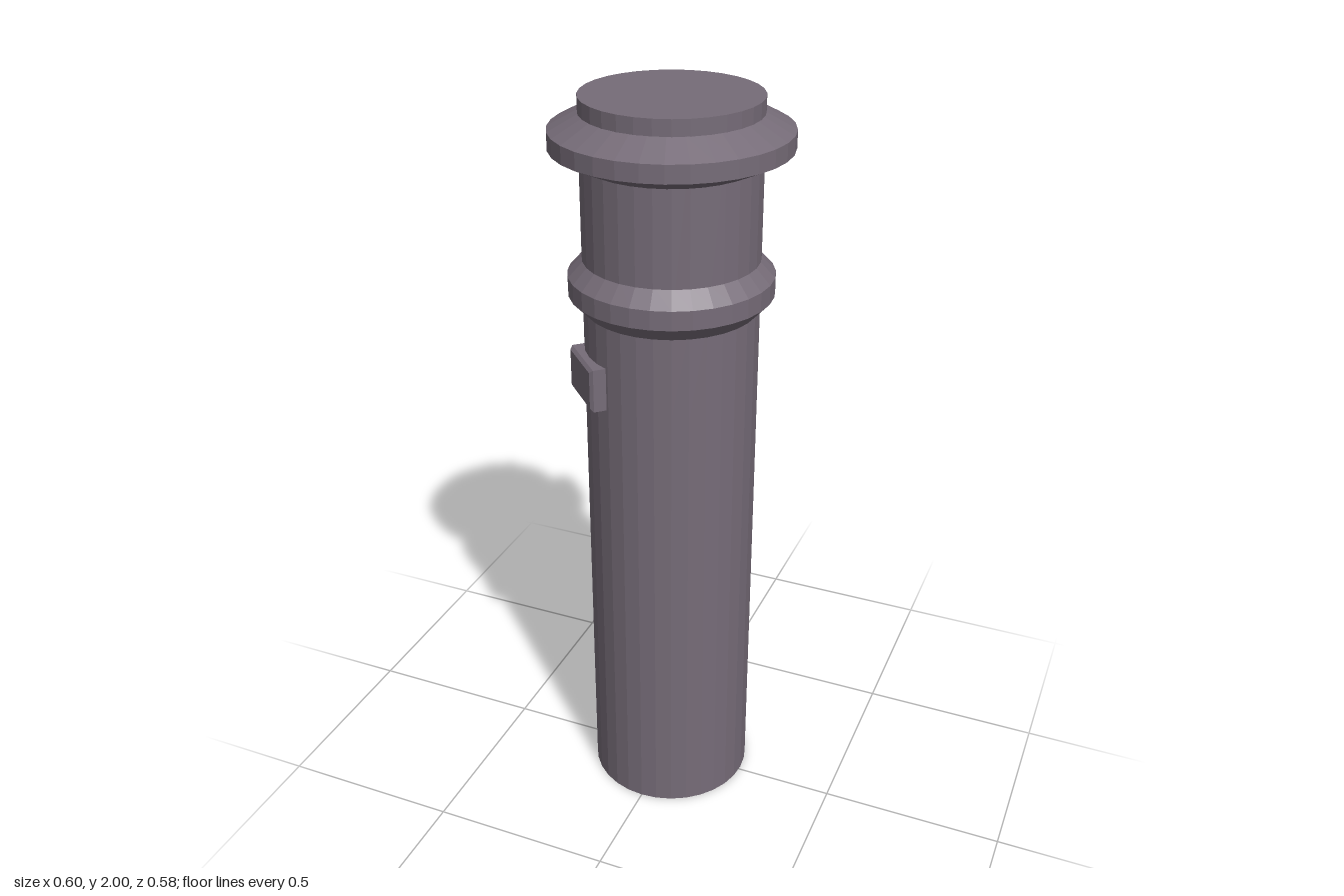
import * as THREE from 'three';

const R = 0.225, SIDES = 32, STEP = 360 / SIDES, AXIS_Z = -0.012;
const rad = THREE.MathUtils.degToRad;

// Point on the faceted wall; angle in degrees from the back towards -x, inset towards the axis
function wallPoint(a, y, inset) {
  const local = (((a % STEP) + STEP) % STEP) - STEP / 2;
  const r = (R - inset) * Math.cos(rad(STEP / 2)) / Math.cos(rad(local));
  return [-r * Math.sin(rad(a)), y, -r * Math.cos(rad(a))];
}

// Lower and upper edge of an opening at an angle; rows are [angle, low, high]
function edgesAt(opening, a) {
  for (let i = 0; i < opening.length - 1; i++) {
    const p = opening[i], q = opening[i + 1];
    if (a >= p[0] && a <= q[0]) {
      const t = (a - p[0]) / (q[0] - p[0]);
      return [p[1] + (q[1] - p[1]) * t, p[2] + (q[2] - p[2]) * t];
    }
  }
  return null;
}

// Wall band with one opening: a recess with a back, or a hole through a thick wall
function wallBand(y0, y1, opening, depth, through) {
  const pos = [];
  const quad = (a, b, c, d) => pos.push(...a, ...b, ...c, ...a, ...c, ...d);
  const face = (a, b, la, lb, ha, hb, inset) => quad(
    wallPoint(a, la, inset), wallPoint(b, lb, inset), wallPoint(b, hb, inset), wallPoint(a, ha, inset));
  const ledge = (a, b, ya, yb) => quad(
    wallPoint(a, ya, 0), wallPoint(b, yb, 0), wallPoint(b, yb, depth), wallPoint(a, ya, depth));
  const angles = opening.map(o => o[0]);
  for (let i = 0; i <= SIDES; i++) angles.push(-180 + i * STEP);
  const cuts = [...new Set(angles)].sort((a, b) => a - b);

  for (let i = 0; i < cuts.length - 1; i++) {
    const a = cuts[i], b = cuts[i + 1];
    const ea = edgesAt(opening, a), eb = edgesAt(opening, b);
    const insets = through ? [0, depth] : [0];
    if (!ea || !eb) {
      insets.forEach(n => face(a, b, y0, y0, y1, y1, n));
      continue;
    }
    for (const n of insets) {
      face(a, b, y0, y0, ea[0], eb[0], n);
      if (ea[1] < y1 || eb[1] < y1) face(a, b, ea[1], eb[1], y1, y1, n);
    }
    if (!through) face(a, b, ea[0], eb[0], ea[1], eb[1], depth);
    ledge(a, b, ea[0], eb[0]);
    if (ea[1] < y1) ledge(b, a, eb[1], ea[1]);
  }
  // Side edges of the opening
  const [sa, sl, sh] = opening[0], [ta, tl, th] = opening[opening.length - 1];
  quad(wallPoint(sa, sl, 0), wallPoint(sa, sl, depth), wallPoint(sa, sh, depth), wallPoint(sa, sh, 0));
  quad(wallPoint(ta, tl, depth), wallPoint(ta, tl, 0), wallPoint(ta, th, 0), wallPoint(ta, th, depth));

  const g = new THREE.BufferGeometry();
  g.setAttribute('position', new THREE.Float32BufferAttribute(pos, 3));
  g.computeVertexNormals();
  return g;
}

const profile = rows => rows.map(([r, y]) => new THREE.Vector2(r, y));

export function createModel() {
  const model = new THREE.Group();
  model.name = 'brokenTower';
  const tower = new THREE.Group();
  tower.name = 'tower';
  tower.position.z = AXIS_Z;
  model.add(tower);
  const stone = new THREE.MeshStandardMaterial({ color: 0x766c78, flatShading: true, side: THREE.DoubleSide });
  stone.name = 'stone';
  const add = (name, geometry) => {
    const mesh = new THREE.Mesh(geometry, stone);
    mesh.name = name;
    tower.add(mesh);
    return mesh;
  };

  // Shaft with a jagged chip in its side
  add('lowerShaft', wallBand(0, 1.25, [
    [57, 1.02, 1.05], [60, 1.0, 1.118], [65, 0.99, 1.118], [65.4, 0.866, 1.118], [73, 0.86, 1.116],
    [81, 0.858, 1.15], [86, 0.858, 1.15], [86.5, 0.995, 1.15], [93, 1.05, 1.15], [99, 1.07, 1.15],
  ], 0.03, false));

  // Shaft with a small square window
  add('windowShaft', wallBand(1.25, 1.5, [[-10, 1.35, 1.41], [10, 1.35, 1.41]], 0.045, false));

  // Lantern room with a broken-out wall
  add('upperShaft', wallBand(1.5, 1.96, [
    [-37, 1.79, 1.83], [-28.4, 1.71, 1.84], [-28, 1.71, 1.96], [-15, 1.64, 1.96], [0, 1.605, 1.96],
    [23, 1.605, 1.96], [23.4, 1.605, 1.85], [32, 1.6, 1.84], [41, 1.61, 1.78], [47, 1.635, 1.65],
  ], 0.04, true));

  // Floors, base and lid
  const disc = (name, r, y, up) => {
    const m = add(name, new THREE.CircleGeometry(r, SIDES));
    m.rotation.x = up ? -Math.PI / 2 : Math.PI / 2;
    m.position.y = y;
  };
  disc('base', R, 0, false);
  disc('roomFloor', R - 0.04, 1.59, true);
  add('lid', new THREE.CylinderGeometry(R, R, 0.04, SIDES)).position.y = 1.98;

  // Whole lower ring
  add('lowerRing', new THREE.LatheGeometry(
    profile([[0.22, 1.46], [0.262, 1.505], [0.262, 1.555], [0.22, 1.6]]), SIDES));

  // Upper ring, broken at the back, with closed ends
  const ring = profile([[0.19, 1.84], [R, 1.84], [0.3, 1.875], [0.3, 1.92], [R, 1.96], [0.19, 1.96]]);
  add('upperRing', new THREE.LatheGeometry(ring, 28, rad(203), rad(309)));
  for (const phi of [203, 152]) {
    add('upperRingEnd', new THREE.ShapeGeometry(new THREE.Shape(ring))).rotation.y = rad(phi - 90);
  }

  // Chamfered block standing out of the wall
  const w = 0.075, h = 0.05;
  const rect = new THREE.Shape(profile([[-w, -h], [w, -h], [w, h], [-w, h]]));
  const block = add('wallBlock', new THREE.ExtrudeGeometry(rect, {
    depth: 0.05, bevelEnabled: true, bevelSize: 0.008, bevelThickness: 0.008, bevelSegments: 1,
  }));
  block.rotation.y = rad(-46);
  block.position.set(-0.192 * Math.sin(rad(46)), 1.297, 0.192 * Math.cos(rad(46)));

  // Flush stone panel
  const panel = add('wallPanel', new THREE.BoxGeometry(0.087, 0.12, 0.009));
  panel.rotation.y = rad(225);
  panel.position.set(-0.222 * Math.SQRT1_2, 1.29, -0.222 * Math.SQRT1_2);

  return model;
}
